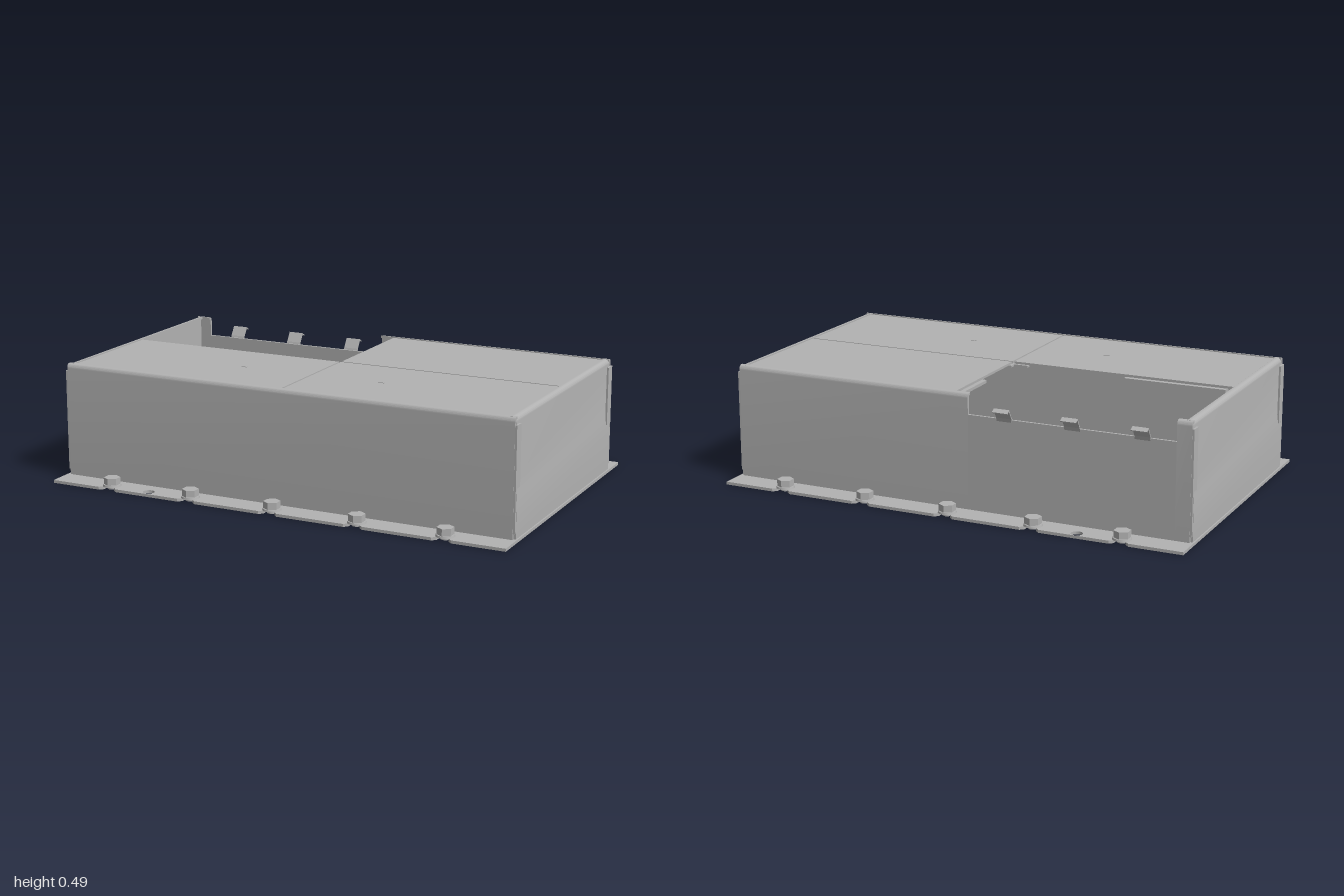
import * as THREE from 'three';
import { toCreasedNormals } from 'three/addons/utils/BufferGeometryUtils.js';

const steel = new THREE.MeshStandardMaterial({ color: 0xb2b2b2, side: THREE.DoubleSide });
steel.name = 'grey steel';

const BASE = 0.012, TOP = 0.485, BOLTS = [-0.74, -0.37, 0, 0.37, 0.74];

export function createModel() {
  const model = new THREE.Group();
  model.name = 'enclosure';

  const add = (name, geo, parent = model) => {
    const mesh = new THREE.Mesh(geo, steel);
    mesh.name = name;
    parent.add(mesh);
    return mesh;
  };
  const box = (name, x0, x1, y0, y1, z0, z1) =>
    add(name, new THREE.BoxGeometry(x1 - x0, y1 - y0, z1 - z0)
      .translate((x0 + x1) / 2, (y0 + y1) / 2, (z0 + z1) / 2));

  // Base plate with bolt notches along both long edges and two locating holes
  const edge = [[-1, 0.645]];
  for (const x of BOLTS) {
    edge.push([x - 0.04, 0.645], [x - 0.024, 0.63], [x - 0.024, 0.59],
      [x + 0.024, 0.59], [x + 0.024, 0.63], [x + 0.04, 0.645]);
  }
  edge.push([1, 0.645]);
  const outline = [...edge, ...edge.map(([x, z]) => [x, -z]).reverse()];
  const plate = new THREE.Shape(outline.map(([x, z]) => new THREE.Vector2(x, z)));
  for (const z of [-0.62, 0.615]) {
    plate.holes.push(new THREE.Path().absarc(-0.56, z, 0.024, 0, Math.PI * 2));
  }
  add('basePlate', new THREE.ExtrudeGeometry(plate, { depth: BASE, bevelEnabled: false })
    .rotateX(Math.PI / 2).translate(0, BASE, 0));

  // Wall cross-section (outward, up), rounded over into a short inward lip
  const profile = (points, out, lip) => {
    const s = new THREE.Shape();
    points.forEach(([u, v], i) => (i ? s.lineTo(u, v) : s.moveTo(u, v)));
    s.lineTo(out, TOP - 0.02);
    s.quadraticCurveTo(out, TOP, out - 0.02, TOP);
    s.lineTo(out - lip, TOP);
    s.lineTo(out - lip, TOP - 0.01);
    s.lineTo(out - 0.01, TOP - 0.012);
    return s;
  };
  const wall = (name, shape, length, angle, x, z) => {
    const geo = new THREE.ExtrudeGeometry(shape, { depth: length, bevelEnabled: false, curveSegments: 6 })
      .translate(0, 0, -length / 2).rotateY(angle).translate(x, 0, z);
    return add(name, toCreasedNormals(geo, 0.5));
  };

  // Long walls; the back one is cut low across the open compartment
  const longWall = profile([[0.53, BASE], [0.54, BASE]], 0.54, 0.022);
  wall('frontWall', longWall, 1.97, -Math.PI / 2, 0, 0);
  wall('backWall', longWall, 1.045, Math.PI / 2, 0.4625, 0);
  wall('backCorner', longWall, 0.06, Math.PI / 2, -0.955, 0);
  box('backLowWall', -0.925, -0.06, BASE, 0.4, -0.54, -0.53);

  // End walls bulge slightly below a sloping crease
  const endWall = profile([[0.974, BASE], [0.994, BASE], [0.994, 0.185], [0.985, 0.245]], 0.985, 0.025);
  for (const side of [1, -1]) {
    wall(side > 0 ? 'leftWall' : 'rightWall', endWall, 1.058, side > 0 ? 0 : Math.PI, 0, 0);
    // Folded corner tabs
    for (const end of [1, -1]) {
      const xs = [side * 0.984, side * 0.993].sort((a, b) => a - b);
      const span = (a, b) => [end * a, end * b].sort((p, q) => p - q);
      box('cornerTab', ...xs, 0.21, 0.455, ...span(0.495, 0.538));
      box('cornerFold', ...xs, 0.035, 0.455, ...span(0.529, 0.539));
    }
  }

  // Three lid panels, leaving the back right quarter open
  for (const [sx, sz] of [[1, 1], [1, -1], [-1, 1]]) {
    const xs = [sx * 0.004, sx * 0.956].sort((a, b) => a - b);
    const zs = [sz * 0.004, sz * 0.512].sort((a, b) => a - b);
    box('lidPanel', ...xs, TOP - 0.013, TOP - 0.003, ...zs);
  }

  // Ledges along the open compartment and the central cross support
  box('sideLedge', -0.93, -0.5, TOP - 0.025, TOP - 0.013, -0.018, 0.02);
  box('rearLedge', -0.015, 0.02, TOP - 0.025, TOP - 0.013, -0.525, -0.28);
  box('crossBar', -0.07, 0.07, TOP - 0.02, TOP - 0.012, -0.008, 0.008);
  box('crossBar', -0.008, 0.008, TOP - 0.02, TOP - 0.012, -0.035, 0.035);
  box('endLedge', 0.925, 0.975, TOP - 0.022, TOP - 0.013, -0.01, 0.01);

  // Small lift slots on the front lids
  for (const x of [-0.31, 0.31]) {
    box('lidSlot', x - 0.013, x + 0.013, TOP - 0.004, TOP - 0.001, 0.257, 0.263);
  }

  // Bent clips on the low back wall
  const path = [[0.534, 0.39], [0.541, 0.408], [0.565, 0.447], [0.583, 0.436],
    [0.582, 0.432], [0.567, 0.441], [0.545, 0.405], [0.541, 0.39]];
  const clip = new THREE.Shape(path.map(([u, v]) => new THREE.Vector2(u, v)));
  for (const x of [-0.79, -0.503, -0.217]) {
    add('clip', new THREE.ExtrudeGeometry(clip, { depth: 0.065, bevelEnabled: false })
      .translate(0, 0, -0.0325).rotateY(Math.PI / 2).translate(x, 0, 0));
  }

  // Hex bolts with washer flanges
  for (const z of [-0.605, 0.605]) {
    for (const x of BOLTS) {
      const bolt = new THREE.Group();
      bolt.name = 'bolt';
      bolt.position.set(x, 0, z);
      add('washer', new THREE.CylinderGeometry(0.036, 0.038, 0.008, 24).translate(0, 0.016, 0), bolt);
      add('hexHead', toCreasedNormals(new THREE.CylinderGeometry(0.034, 0.034, 0.03, 6), 0.5)
        .translate(0, 0.033, 0), bolt);
      add('shank', new THREE.CylinderGeometry(0.02, 0.02, 0.014, 16).translate(0, 0.008, 0), bolt);
      model.add(bolt);
    }
  }
  return model;
}
